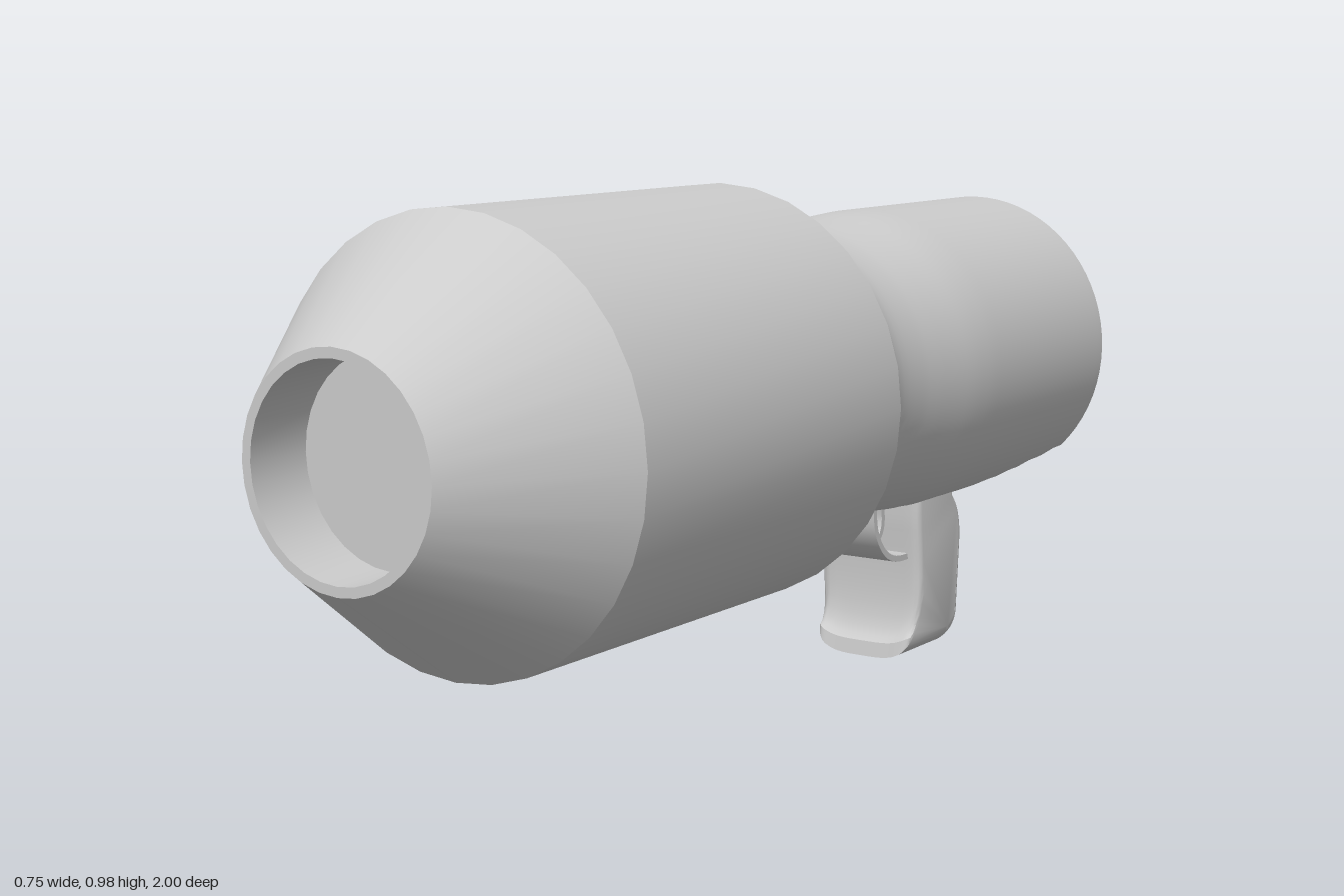
import * as THREE from 'three';
import { toCreasedNormals, mergeVertices } from 'three/addons/utils/BufferGeometryUtils.js';

const AXIS_Y = 0.605;
const material = new THREE.MeshStandardMaterial({ color: 0xcccccc, side: THREE.DoubleSide });

function addMesh(group, name, geometry) {
  const mesh = new THREE.Mesh(geometry, material);
  mesh.name = name;
  group.add(mesh);
  return mesh;
}

// Turned body lying along z; the profile is [radius, z] pairs.
function turned(profile, segments) {
  const g = new THREE.LatheGeometry(profile.map(([r, z]) => new THREE.Vector2(r, z)), segments);
  return g.rotateX(Math.PI / 2).translate(0, AXIS_Y, 0);
}

// Piecewise linear lookup with eased steps.
function lookup(table, z) {
  for (let i = 1; i < table.length; i++) {
    const [z0, a] = table[i - 1], [z1, b] = table[i];
    if (z <= z1) return a + (b - a) * THREE.MathUtils.clamp((z - z0) / (z1 - z0), 0, 1);
  }
  return table[table.length - 1][1];
}

// Side outline given as [z, y], extruded across x and centred.
function acrossX(shape, width, options) {
  const g = new THREE.ExtrudeGeometry(shape, { depth: width, bevelEnabled: false, ...options });
  return g.translate(0, 0, -width / 2).rotateY(Math.PI / 2);
}

// Curved strip of even thickness through [z, y] points.
function strip(points, thickness, width) {
  const curve = new THREE.SplineCurve(points.map(([z, y]) => new THREE.Vector2(-z, y)));
  const a = [], b = [];
  for (let i = 0; i <= 20; i++) {
    const p = curve.getPoint(i / 20), t = curve.getTangent(i / 20);
    const n = new THREE.Vector2(-t.y, t.x).multiplyScalar(thickness / 2);
    a.push(p.clone().add(n));
    b.unshift(p.clone().sub(n));
  }
  return toCreasedNormals(acrossX(new THREE.Shape([...a, ...b]), width), 0.7);
}

export function createModel() {
  const model = new THREE.Group();

  // Large front barrel with tapered nose and recessed muzzle
  addMesh(model, 'frontBarrel', toCreasedNormals(turned([
    [0.28, -0.13], [0.303, -0.125], [0.375, -0.015], [0.375, 0.735], [0.187, 1], [0.17, 1], [0.17, 0.88], [0, 0.88],
  ], 32), 0.5));

  // Rear body: waisted tube with recessed end, flattened underneath
  const outer = [[-0.985, 0.3], [-0.5, 0.3], [-0.44, 0.297], [-0.35, 0.288], [-0.27, 0.282], [-0.2, 0.284], [-0.16, 0.291], [-0.12, 0.306], [-0.06, 0.345]];
  const profile = [[0, -0.95], [0.268, -0.95], [0.268, -0.985], [0.278, -0.998], [0.29, -0.998], [0.3, -0.985]];
  for (let i = 1; i <= 36; i++) {
    const z = -0.985 + i * 0.025;
    profile.push([lookup(outer, z), z]);
  }
  const rear = turned(profile, 72);
  const floorY = [[-1, 0.392], [-0.85, 0.357], [-0.72, 0.318], [-0.6, 0.325], [-0.45, 0.337], [-0.3, 0.337], [-0.2, 0.325], [-0.13, 0.298], [-0.07, 0.25]];
  const pos = rear.attributes.position;
  for (let i = 0; i < pos.count; i++) {
    const ring = i % profile.length;
    const inset = ring < 3 ? 0.026 : ring === 3 ? 0.018 : ring === 4 ? 0.008 : 0;
    pos.setY(i, Math.max(pos.getY(i), lookup(floorY, pos.getZ(i)) + inset));
  }
  addMesh(model, 'rearBody', toCreasedNormals(rear, 0.6));

  // Grip: rounded block with a hollowed front edge and a bowed underside
  const s = new THREE.Shape();
  s.moveTo(0.55, 0.36);
  s.lineTo(0.55, 0.3);
  s.bezierCurveTo(0.56, 0.2, 0.575, 0.06, 0.532, 0.035);
  s.lineTo(0.528, 0.005);
  s.lineTo(0.69, 0.005);
  s.quadraticCurveTo(0.735, 0.008, 0.735, 0.06);
  s.lineTo(0.735, 0.23);
  s.quadraticCurveTo(0.735, 0.29, 0.7, 0.325);
  s.lineTo(0.7, 0.36);
  s.closePath();
  let grip = acrossX(s, 0.19, {
    steps: 12, curveSegments: 10, bevelEnabled: true,
    bevelThickness: 0.02, bevelSize: 0.015, bevelOffset: -0.015, bevelSegments: 4,
  });
  const gp = grip.attributes.position;
  for (let i = 0; i < gp.count; i++) {
    const x = gp.getX(i), y = gp.getY(i);
    const low = THREE.MathUtils.clamp((0.14 - y) / 0.14, 0, 1);
    gp.setY(i, y + low * 0.03 * Math.pow(Math.abs(x) / 0.115, 4));
    gp.setX(i, x * (1 - 0.09 * low));
  }
  grip.deleteAttribute('normal');
  grip.deleteAttribute('uv');
  grip = toCreasedNormals(mergeVertices(grip, 1e-4), 0.6);
  addMesh(model, 'grip', grip);

  // Trigger guard and curled trigger
  addMesh(model, 'triggerGuard', strip(
    [[-0.425, 0.345], [-0.434, 0.285], [-0.465, 0.24], [-0.51, 0.218], [-0.57, 0.215]], 0.012, 0.175));
  addMesh(model, 'trigger', strip(
    [[-0.505, 0.345], [-0.515, 0.295], [-0.505, 0.263], [-0.48, 0.254], [-0.466, 0.272]], 0.012, 0.11));

  return model;
}
